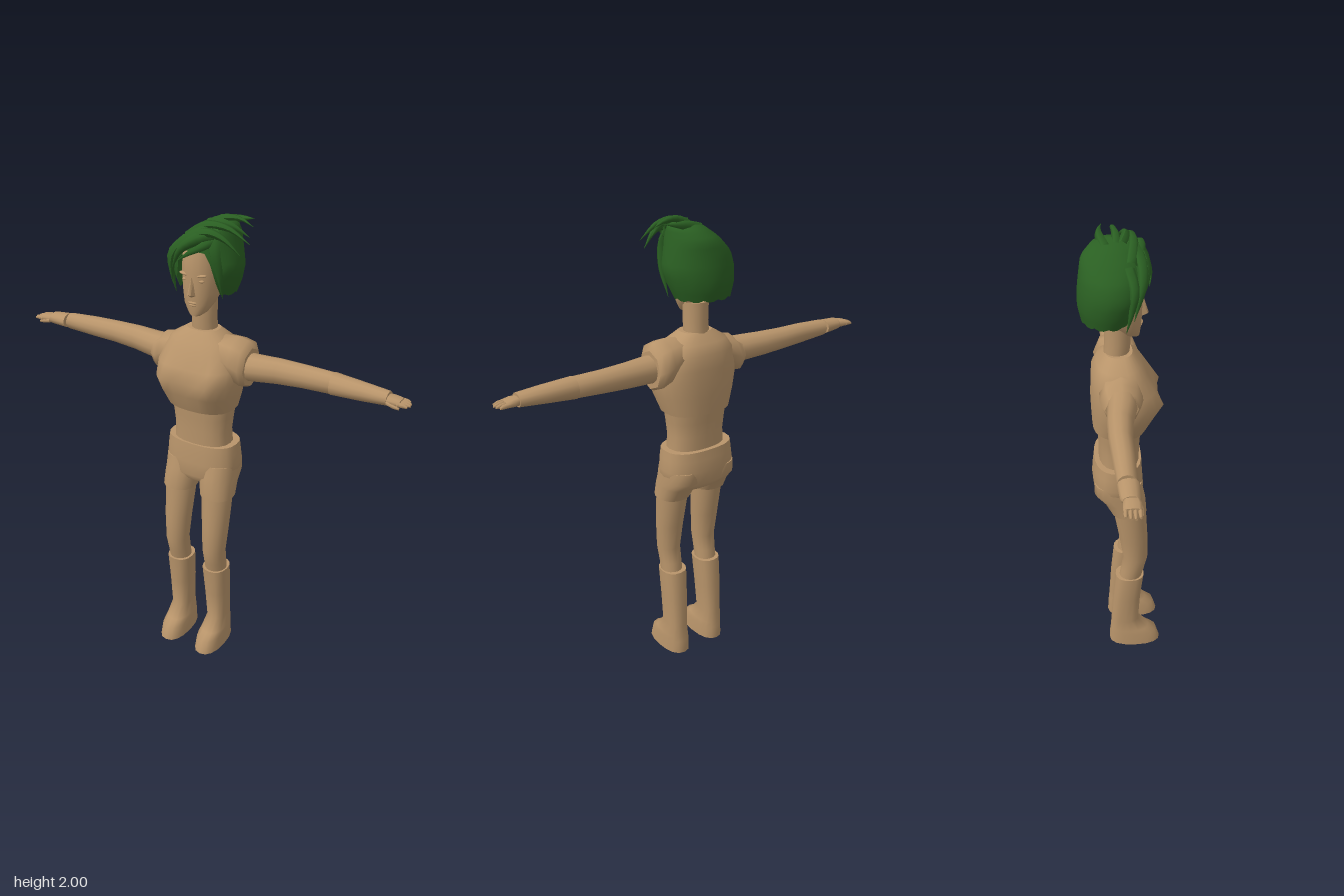
import * as THREE from 'three';
import { ConvexGeometry } from 'three/addons/geometries/ConvexGeometry.js';

const skin = new THREE.MeshStandardMaterial({ color: 0xb8946a });
skin.name = 'skin';
const green = new THREE.MeshStandardMaterial({ color: 0x2a5f22, side: THREE.DoubleSide });
green.name = 'hair green';

// Closed body through elliptical rings [position, centreA, centreB, radiusA, radiusB].
// axis 'y': A = x, B = z; axis 'x': A = y, B = z. power < 1 makes rings squarer.
function loft(rings, axis = 'y', n = 16, power = 1) {
  const pos = [], idx = [];
  const pw = v => Math.sign(v) * Math.abs(v) ** power;
  const put = (p, a, b) => (axis === 'y' ? pos.push(a, p, b) : pos.push(p, a, b));
  const addRing = ([p, ca, cb, ra, rb]) => {
    for (let j = 0; j < n; j++) {
      const t = (j / n) * Math.PI * 2;
      put(p, ca + ra * pw(Math.cos(t)), cb + rb * pw(Math.sin(t)));
    }
  };
  const last = rings.length - 1;
  const flip = (axis === 'x') !== (rings[0][0] > rings[last][0]);
  const tri = (a, b, c) => (flip ? idx.push(a, c, b) : idx.push(a, b, c));
  rings.forEach(addRing);
  for (let i = 0; i < last; i++) {
    for (let j = 0; j < n; j++) {
      const a = i * n + j, b = i * n + ((j + 1) % n);
      tri(a, a + n, b);
      tri(b, a + n, b + n);
    }
  }
  // End caps with their own vertices, so the rim stays sharp
  for (const end of [0, last]) {
    const s = pos.length / 3;
    addRing(rings[end]);
    put(rings[end][0], rings[end][1], rings[end][2]);
    for (let j = 0; j < n; j++) {
      const a = s + j, b = s + ((j + 1) % n);
      if (end) tri(a, s + n, b); else tri(a, b, s + n);
    }
  }
  const g = new THREE.BufferGeometry();
  g.setAttribute('position', new THREE.Float32BufferAttribute(pos, 3));
  g.setIndex(idx);
  g.computeVertexNormals();
  return g;
}

// Hair cap: a shell from the crown down to a hairline that opens over the face
function hairCap() {
  const prof = [
    [1.98, 0.065, -0.03, 0.005, 0.005], [1.97, 0.065, -0.035, 0.06, 0.07],
    [1.92, 0.035, -0.04, 0.1, 0.115], [1.86, 0.01, -0.04, 0.135, 0.125],
    [1.8, 0.005, -0.04, 0.148, 0.132], [1.74, 0, -0.05, 0.137, 0.122], [1.67, -0.005, -0.06, 0.112, 0.095],
  ];
  const at = y => {
    let i = 0;
    while (i < prof.length - 2 && y < prof[i + 1][0]) i++;
    const t = (prof[i][0] - y) / (prof[i][0] - prof[i + 1][0]);
    return prof[i].map((v, k) => v + (prof[i + 1][k] - v) * t);
  };
  const n = 36, m = 14, pos = [], idx = [];
  for (let i = 0; i <= m; i++) {
    for (let j = 0; j < n; j++) {
      const a = (j / n) * Math.PI * 2;
      const away = Math.min(a, Math.PI * 2 - a);
      const bottom = 1.87 - 0.185 * THREE.MathUtils.smoothstep(away, 0.3, 0.95) + 0.008 * (j % 3 === 0);
      const y = 1.98 + (bottom - 1.98) * (i / m) ** 1.4;
      const [, cx, cz, rx, rz] = at(y);
      pos.push(cx + rx * Math.sin(a), y, cz + rz * Math.cos(a));
      if (i < m) {
        const p = i * n + j, q = i * n + ((j + 1) % n);
        idx.push(p, p + n, q, q, p + n, q + n);
      }
    }
  }
  const g = new THREE.BufferGeometry();
  g.setAttribute('position', new THREE.Float32BufferAttribute(pos, 3));
  g.setIndex(idx);
  g.computeVertexNormals();
  return g;
}

// Pointed lock of hair along a curve
function lock(points, r) {
  const path = new THREE.CatmullRomCurve3(points.map(p => new THREE.Vector3(...p)));
  const seg = 10, sides = 6, g = new THREE.TubeGeometry(path, seg, r, sides);
  const p = g.attributes.position, v = new THREE.Vector3();
  for (let i = 0; i <= seg; i++) {
    const c = path.getPointAt(i / seg), k = Math.max(0.02, 1 - (i / seg) ** 1.5);
    for (let j = 0; j <= sides; j++) {
      const q = i * (sides + 1) + j;
      v.fromBufferAttribute(p, q).sub(c).multiplyScalar(k).add(c);
      p.setXYZ(q, v.x, v.y, v.z);
    }
  }
  g.computeVertexNormals();
  return g;
}

export function createModel() {
  const model = new THREE.Group();
  model.name = 'figure';
  const add = (name, geo, mat = skin) => {
    const mesh = new THREE.Mesh(geo, mat);
    mesh.name = name;
    model.add(mesh);
    return mesh;
  };
  const blob = (name, x, y, z, rx, ry, rz) => {
    const mesh = add(name, new THREE.SphereGeometry(1, 12, 8));
    mesh.position.set(x, y, z);
    mesh.scale.set(rx, ry, rz);
    return mesh;
  };

  // Trunk
  const chest = loft([
    [1.205, 0, -0.012, 0.148, 0.112], [1.28, 0, 0.002, 0.172, 0.13], [1.345, 0, 0.008, 0.185, 0.138],
    [1.4, 0, 0.002, 0.182, 0.13], [1.46, 0, -0.012, 0.162, 0.113], [1.5, 0, -0.014, 0.135, 0.09],
    [1.54, 0, -0.014, 0.07, 0.055],
  ], 'y', 24, 0.8);
  const cp = chest.attributes.position;
  for (let i = 0; i < cp.count; i++) {
    const x = Math.abs(cp.getX(i)), y = cp.getY(i), z = cp.getZ(i);
    if (z > 0) cp.setZ(i, z + 0.03 * Math.exp(-(((x - 0.11) / 0.04) ** 2) - ((y - 1.34) / 0.05) ** 2));
  }
  chest.computeVertexNormals();
  add('chest', chest);
  add('waist', loft([
    [1.02, 0, -0.015, 0.132, 0.086], [1.1, 0, -0.014, 0.126, 0.086],
    [1.16, 0, -0.014, 0.133, 0.09], [1.21, 0, -0.014, 0.14, 0.094],
  ], 'y', 20, 0.85));
  add('hips', loft([
    [0.86, 0, -0.015, 0.13, 0.085], [0.89, 0, -0.018, 0.164, 0.106], [0.95, 0, -0.022, 0.168, 0.108],
    [1.0, 0, -0.02, 0.163, 0.104], [1.04, 0, -0.02, 0.158, 0.1],
  ], 'y', 24, 0.8));
  add('neck', loft([[1.5, 0, -0.025, 0.056, 0.052], [1.58, 0, -0.018, 0.052, 0.052], [1.66, 0, -0.018, 0.054, 0.054]]));

  // Head and face
  add('head', loft([
    [1.608, 0, 0.046, 0.022, 0.022], [1.62, 0, 0.03, 0.038, 0.04], [1.655, 0, 0.015, 0.06, 0.06],
    [1.7, 0, -0.01, 0.073, 0.088], [1.78, 0, -0.025, 0.083, 0.105], [1.86, 0, -0.028, 0.08, 0.103],
    [1.92, 0.015, -0.03, 0.058, 0.08], [1.95, 0.03, -0.03, 0.02, 0.03],
  ], 'y', 20, 0.9));
  add('nose', new ConvexGeometry([
    [0, 1.765, 0.083], [0, 1.702, 0.103], [0.008, 1.7, 0.098], [-0.008, 1.7, 0.098],
    [0.017, 1.692, 0.07], [-0.017, 1.692, 0.07], [0, 1.688, 0.082], [0.007, 1.765, 0.07], [-0.007, 1.765, 0.07],
  ].map(p => new THREE.Vector3(...p))));
  blob('upperLip', 0, 1.664, 0.073, 0.022, 0.005, 0.009);
  blob('lowerLip', 0, 1.654, 0.07, 0.018, 0.005, 0.009);
  for (const s of [1, -1]) {
    blob('brow', s * 0.038, 1.775, 0.068, 0.024, 0.006, 0.012).rotation.z = s * 0.15;
    blob('eye', s * 0.036, 1.753, 0.066, 0.014, 0.006, 0.009);
  }

  // Hair: cap, swept crest, fringe and temple locks
  add('hairCap', hairCap(), green);
  [
    [[[0, 1.93, -0.02], [0.08, 1.985, -0.02], [0.15, 1.988, -0.03], [0.205, 1.965, -0.03]], 0.022],
    [[[0.02, 1.95, -0.06], [0.1, 1.972, -0.08], [0.15, 1.98, -0.08], [0.185, 1.985, -0.07]], 0.026],
    [[[-0.04, 1.91, 0.03], [0.05, 1.968, 0.045], [0.14, 1.965, 0.04], [0.225, 1.915, 0.03]], 0.024],
    [[[0, 1.92, 0.06], [0.07, 1.95, 0.075], [0.13, 1.935, 0.07], [0.195, 1.875, 0.05]], 0.022],
    [[[0.03, 1.96, 0.0], [0.1, 1.978, 0.02], [0.15, 1.965, 0.01], [0.2, 1.93, -0.01]], 0.022],
    [[[0.1, 1.94, 0.04], [0.04, 1.925, 0.075], [-0.04, 1.875, 0.09], [-0.1, 1.78, 0.065]], 0.028],
    [[[0.06, 1.95, 0.04], [-0.02, 1.91, 0.07], [-0.085, 1.84, 0.07], [-0.115, 1.72, 0.04]], 0.03],
    [[[0.1, 1.93, 0.03], [0.06, 1.9, 0.085], [0, 1.865, 0.105], [-0.05, 1.83, 0.1]], 0.022],
    [[[-0.05, 1.9, 0.02], [-0.11, 1.84, 0.04], [-0.12, 1.76, 0.03], [-0.115, 1.67, 0.01]], 0.024],
    [[[0.08, 1.94, 0.04], [0.095, 1.88, 0.065], [0.11, 1.79, 0.055], [0.105, 1.68, 0.02]], 0.026],
  ].forEach(([pts, r]) => add('hairLock', lock(pts, r), green));

  for (const s of [1, -1]) {
    const side = s > 0 ? 'left' : 'right';
    const alongX = rings => rings.map(([x, ...rest]) => [s * x, ...rest]);
    const mirrorX = rings => rings.map(([y, x, ...rest]) => [y, s * x, ...rest]);

    // Legs
    add(side + 'ShortsLeg', loft(mirrorX([
      [0.8, 0.094, 0.024, 0.074, 0.077], [0.86, 0.088, 0.005, 0.078, 0.092],
      [0.9, 0.085, -0.018, 0.082, 0.106], [0.95, 0.085, -0.022, 0.08, 0.1],
    ]), 'y', 18, 0.9));
    add(side + 'Thigh', loft(mirrorX([
      [0.4, 0.095, 0.03, 0.048, 0.05], [0.46, 0.095, 0.042, 0.049, 0.053], [0.53, 0.096, 0.055, 0.052, 0.055],
      [0.65, 0.096, 0.045, 0.06, 0.063], [0.83, 0.092, 0.024, 0.07, 0.073],
    ])));
    add(side + 'Boot', loft(mirrorX([
      [0, 0.095, 0.055, 0.061, 0.12], [0.06, 0.095, 0.047, 0.058, 0.11], [0.085, 0.096, 0.03, 0.054, 0.09],
      [0.14, 0.097, 0.008, 0.045, 0.064], [0.28, 0.095, 0.016, 0.052, 0.064], [0.42, 0.093, 0.03, 0.057, 0.065],
    ]), 'y', 16, 0.85));

    // Shoulder pads, the left one larger
    add(side + 'ShoulderPad', loft(alongX(s > 0
      ? [[0.1, 1.46, -0.015, 0.065, 0.085], [0.16, 1.435, -0.015, 0.095, 0.095],
        [0.205, 1.42, -0.015, 0.1, 0.095], [0.222, 1.41, -0.015, 0.08, 0.075]]
      : [[0.12, 1.43, -0.012, 0.07, 0.085], [0.175, 1.41, -0.012, 0.08, 0.085],
        [0.2, 1.395, -0.012, 0.075, 0.075], [0.22, 1.4, -0.012, 0.062, 0.066]]), 'x', 8));

    // Arms
    const upper = [[0.15, 1.412, -0.01, 0.06, 0.06], [0.24, 1.413, -0.013, 0.056, 0.058],
      [0.34, 1.416, -0.026, 0.052, 0.05], [0.45, 1.418, -0.03, 0.047, 0.045], [0.57, 1.42, -0.026, 0.043, 0.042]];
    if (s > 0) {
      add('leftArm', loft(upper, 'x', 12));
      add('leftForearm', loft([[0.57, 1.42, -0.026, 0.045, 0.045], [0.7, 1.42, -0.018, 0.036, 0.039],
        [0.8, 1.42, -0.014, 0.027, 0.034]], 'x', 12));
    } else {
      add('rightArm', loft(alongX([...upper, [0.705, 1.42, -0.022, 0.035, 0.036]]), 'x', 12));
      add('rightCuff', loft(alongX([[0.715, 1.42, -0.02, 0.031, 0.04], [0.79, 1.42, -0.016, 0.026, 0.036],
        [0.8, 1.42, -0.015, 0.02, 0.03]]), 'x', 12));
    }

    // Hands
    add(side + 'Palm', loft(alongX([[0.79, 1.418, -0.014, 0.018, 0.028], [0.82, 1.418, -0.013, 0.017, 0.033],
      [0.85, 1.416, -0.013, 0.013, 0.033]]), 'x', 10, 0.8));
    [0.876, 0.885, 0.887, 0.88].forEach((tip, i) => {
      const z = -0.038 + i * 0.0165;
      add(side + 'Finger', loft(alongX([[0.84, 1.416, z, 0.01, 0.0085], [0.865, 1.415, z, 0.009, 0.0078],
        [tip, 1.412, z, 0.005, 0.005]]), 'x', 6));
    });
    add(side + 'Thumb', loft(alongX([[0.8, 1.412, 0.01, 0.01, 0.01], [0.83, 1.406, 0.017, 0.009, 0.008],
      [0.852, 1.402, 0.018, 0.005, 0.005]]), 'x', 6));
  }
  return model;
}
